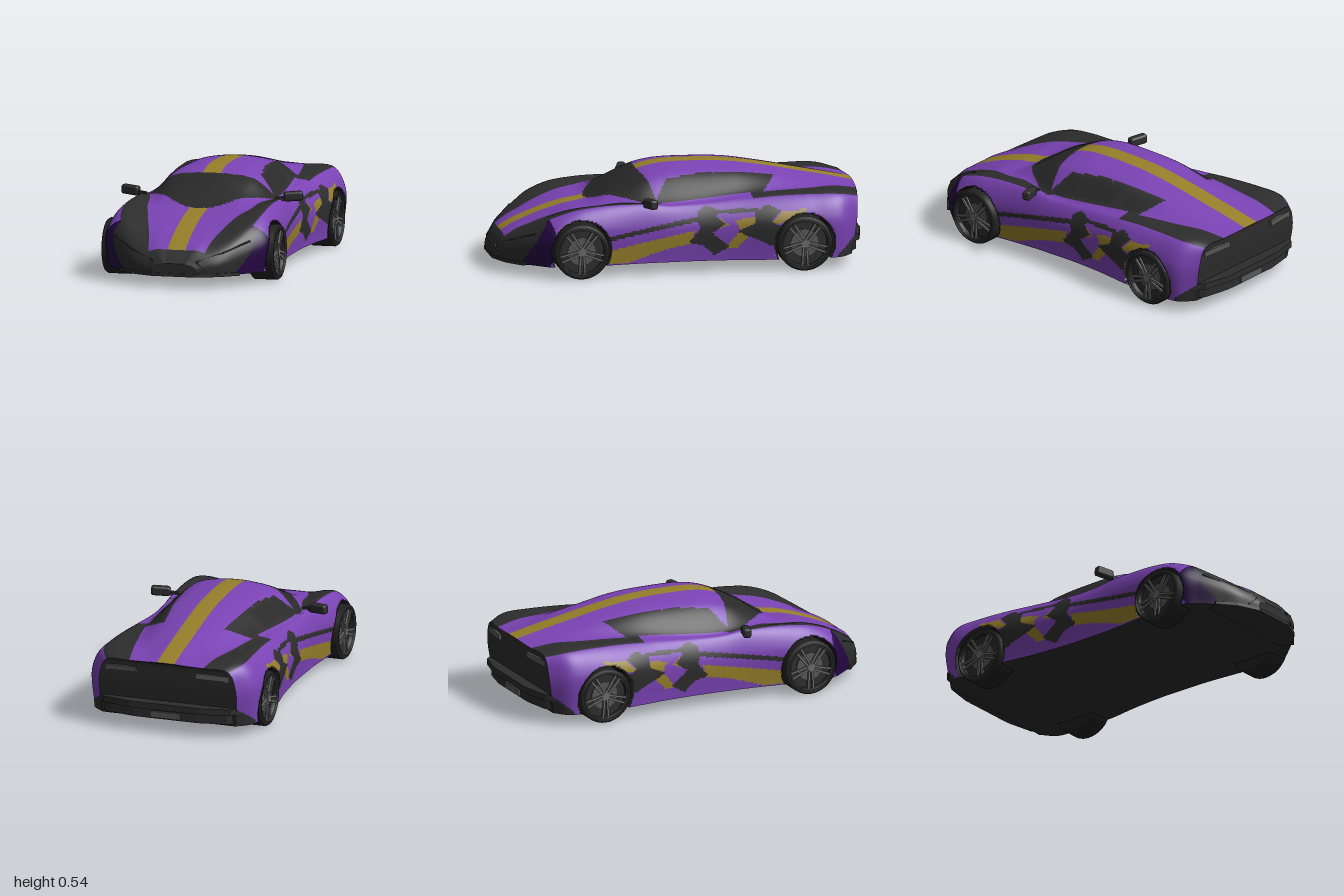
import * as THREE from 'three';
import { RoundedBoxGeometry } from 'three/addons/geometries/RoundedBoxGeometry.js';

const V = (x, y, z) => new THREE.Vector3(x, y, z);
const mat = (name, color) => Object.assign(new THREE.MeshStandardMaterial({ color }), { name });

// Body stations: z, roof height, roof edge x/y, cabin base x/y, fender crest x/y, half width
const STATIONS = [
  [0.995, 0.13, 0.06, 0.13, 0.08, 0.125, 0.10, 0.12, 0.12],
  [0.95, 0.19, 0.10, 0.19, 0.15, 0.178, 0.20, 0.16, 0.23],
  [0.88, 0.235, 0.12, 0.235, 0.17, 0.228, 0.28, 0.215, 0.315],
  [0.80, 0.27, 0.13, 0.27, 0.19, 0.265, 0.33, 0.27, 0.39],
  [0.72, 0.30, 0.15, 0.30, 0.215, 0.30, 0.37, 0.318, 0.45],
  [0.60, 0.335, 0.18, 0.34, 0.25, 0.34, 0.39, 0.36, 0.462],
  [0.47, 0.362, 0.20, 0.365, 0.285, 0.36, 0.39, 0.378, 0.456],
  [0.35, 0.435, 0.19, 0.42, 0.305, 0.378, 0.388, 0.383, 0.445],
  [0.20, 0.508, 0.22, 0.475, 0.345, 0.38, 0.388, 0.38, 0.433],
  [0.08, 0.535, 0.215, 0.50, 0.355, 0.375, 0.388, 0.365, 0.43],
  [-0.10, 0.54, 0.21, 0.505, 0.345, 0.385, 0.385, 0.365, 0.43],
  [-0.30, 0.53, 0.20, 0.50, 0.325, 0.40, 0.385, 0.383, 0.445],
  [-0.50, 0.50, 0.175, 0.475, 0.30, 0.41, 0.39, 0.40, 0.472],
  [-0.70, 0.46, 0.16, 0.44, 0.265, 0.41, 0.40, 0.405, 0.476],
  [-0.85, 0.43, 0.14, 0.415, 0.235, 0.41, 0.40, 0.40, 0.465],
  [-0.95, 0.40, 0.12, 0.395, 0.21, 0.39, 0.35, 0.375, 0.39],
];
const WHEEL_Z = [0.57, -0.65];
const archDistance = (y, z) => Math.min(...WHEEL_Z.map(w => Math.hypot(z - w, y - 0.15)));

// Painted outlines on the flanks, as z, y corners
const WINDOW_FRAME = [[0.15, 0.375], [0.07, 0.487], [-0.1, 0.503], [-0.3, 0.5], [-0.53, 0.472], [-0.45, 0.408], [-0.28, 0.405]];
const FRONT_WINDOW = [[0.125, 0.385], [0.06, 0.475], [-0.1, 0.492], [-0.28, 0.488], [-0.25, 0.415]];
const REAR_WINDOW = [[-0.35, 0.485], [-0.51, 0.466], [-0.45, 0.418], [-0.32, 0.415]];
const BLACK_MARKS = [
  [[-0.02, 0.17], [-0.08, 0.24], [-0.07, 0.33], [-0.12, 0.365], [-0.19, 0.34], [-0.17, 0.305], [-0.22, 0.27], [-0.15, 0.22], [-0.24, 0.14], [-0.16, 0.095], [-0.1, 0.15]],
  [[-0.28, 0.225], [-0.38, 0.27], [-0.38, 0.32], [-0.45, 0.365], [-0.52, 0.335], [-0.47, 0.28], [-0.53, 0.24], [-0.47, 0.14], [-0.42, 0.17]],
  [[0.44, 0.195], [0.44, 0.22], [-0.08, 0.312], [-0.08, 0.285]],
  [[-0.15, 0.32], [-0.15, 0.335], [-0.4, 0.35], [-0.4, 0.325]],
];
const GOLD_MARKS = [
  [[0.42, 0.07], [0.42, 0.145], [-0.05, 0.235], [-0.04, 0.165], [0.1, 0.14], [0.32, 0.07]],
  [[-0.1, 0.25], [-0.14, 0.225], [-0.24, 0.265], [-0.19, 0.30]],
  [[-0.22, 0.13], [-0.3, 0.235], [-0.27, 0.285], [-0.38, 0.305], [-0.38, 0.24], [-0.28, 0.13]],
  [[-0.46, 0.27], [-0.52, 0.325], [-0.66, 0.34], [-0.64, 0.31], [-0.55, 0.27]],
];
const inside = (poly, z, y) => {
  let hit = false;
  poly.forEach(([az, ay], i) => {
    const [bz, by] = poly[(i + 1) % poly.length];
    if ((ay > y) !== (by > y) && z < (bz - az) * (y - ay) / (by - ay) + az) hit = !hit;
  });
  return hit;
};

const PURPLE = 0, BLACK = 1, GOLD = 2, VIOLET = 3, GLASS = 4;

// Paint scheme; u runs 0 (centre line) to 6 (sill)
function paint(x, y, z, u) {
  if (u < 3.2 && z < 0.48 - 2.3 * x * x && z > 0.2 - 0.55 * x * x) return GLASS;
  if (u > 1.5 && u < 4 && inside(WINDOW_FRAME, z, y))
    return inside(FRONT_WINDOW, z, y) || inside(REAR_WINDOW, z, y) ? GLASS : BLACK;
  if (z > 0.94) return BLACK;
  if (u < 1) return GOLD;
  if (u < 3) return PURPLE;
  if (u < 4 && (z > 0.2 || z < -0.38)) return BLACK;
  if (z > 0.88 - 0.58 * (y - 0.07)) return BLACK;
  if (z > 0.69 + 0.35 * Math.abs(y - 0.2)) return VIOLET;
  if (u < 4) return PURPLE;
  if (archDistance(y, z) < 0.168) return BLACK;
  if (z < -0.83 && y < 0.08 - (z + 0.83) * 0.8) return BLACK;
  if (BLACK_MARKS.some(p => inside(p, z, y))) return BLACK;
  return GOLD_MARKS.some(p => inside(p, z, y)) ? GOLD : PURPLE;
}

// Lofted shell, its end caps and floor
function buildBody(paints) {
  const M = 300, SEGS = [2, 8, 14, 8, 14, 26];
  const us = [0];
  SEGS.forEach((n, s) => { for (let k = 1; k <= n; k++) us.push(s + k / n); });
  const N = us.length - 1, cols = 2 * N + 1;
  const net = STATIONS.map(([z, t, rx, ry, cx, cy, fx, fy, w], i) => {
    const pts = [[0, t], [0.05, t - 0.001], [rx, ry], [cx, cy], [fx, fy], [w, fy - 0.33 * (fy - 0.065)], [w * 0.975, 0.065]];
    const last = i === STATIONS.length - 1;
    return pts.map(([x, y], k) => V(x, y, last ? z - 0.035 * (1 - (x / 0.39) ** 2) + (k === 6 ? 0.03 : 0) : z));
  });
  const rails = net[0].map((_, k) => new THREE.CatmullRomCurve3(net.map(row => row[k])));
  const pos = [];
  for (let i = 0; i <= M; i++) {
    const section = new THREE.CatmullRomCurve3(rails.map(r => r.getPoint(i / M)));
    const half = us.map(u => {
      const p = section.getPoint(u / 6);
      if (u > 4.4 && archDistance(p.y, p.z) < 0.16) p.x = 0.335; // wheel wells
      return p;
    });
    for (let j = -N; j <= N; j++) {
      const p = half[Math.abs(j)];
      pos.push(Math.sign(j) * p.x, p.y, p.z);
    }
  }
  const lists = paints.map(() => []);
  const at = (i, j) => i * cols + j + N;
  for (let i = 0; i < M; i++) for (let j = -N; j < N; j++) {
    const a = at(i, j), b = a + 1, c = a + cols, d = c + 1;
    const mid = k => (pos[3 * a + k] + pos[3 * b + k] + pos[3 * c + k] + pos[3 * d + k]) / 4;
    const u = (us[Math.abs(j)] + us[Math.abs(j + 1)]) / 2;
    lists[paint(Math.abs(mid(0)), mid(1), mid(2), u)].push(a, b, c, b, d, c);
  }
  const make = index => {
    const g = new THREE.BufferGeometry();
    g.setAttribute('position', new THREE.Float32BufferAttribute(pos, 3));
    g.setIndex(index);
    g.computeVertexNormals();
    return g;
  };
  const skin = make(lists.flat());
  let start = 0;
  lists.forEach((l, k) => { skin.addGroup(start, l.length, k); start += l.length; });
  const close = [];
  for (let i = 0; i < M; i++) {
    const l = at(i, -N), r = at(i, N);
    close.push(l, l + cols, r, r, l + cols, r + cols);
  }
  const caps = [];
  for (let k = 0; k < N; k++) {
    let l = at(0, -k), r = at(0, k);
    caps.push(l, l - 1, r, r, l - 1, r + 1);
    l = at(M, -k); r = at(M, k);
    caps.push(l, r, l - 1, r, r + 1, l - 1);
  }
  return { skin, floor: make(close), caps: make(caps) };
}

export function createModel() {
  const car = new THREE.Group();
  car.name = 'sportsCar';
  const purple = mat('purple paint', 0x7a43b4), black = mat('black trim', 0x2d2d2d);
  const gold = mat('gold paint', 0x96802a), violet = mat('dark violet', 0x260644);
  const glass = mat('dark glass', 0x292929), rubber = mat('rubber', 0x212121);
  const alloy = mat('alloy', 0x6c6c6c), lamp = mat('grey lamp', 0x585858);
  const add = (name, geometry, material, parent = car) => {
    const m = new THREE.Mesh(geometry, material);
    m.name = name;
    parent.add(m);
    return m;
  };
  const bar = (name, a, b, h, d, material) => {
    const m = add(name, new THREE.BoxGeometry(d, h, a.distanceTo(b)), material);
    m.position.copy(a).lerp(b, 0.5);
    m.lookAt(b);
  };

  const paints = [purple, black, gold, violet, glass];
  const body = buildBody(paints);
  add('bodyShell', body.skin, paints);
  add('floor', body.floor, black);
  add('endPanels', body.caps, black);

  // Plan-shaped slabs: half outline as x, z
  const slab = (name, half, y, h) => {
    const all = [...half, ...half.slice().reverse().map(([x, z]) => [-x, z])];
    const shape = new THREE.Shape(all.map(([x, z]) => new THREE.Vector2(x, -z)));
    const g = new THREE.ExtrudeGeometry(shape, { depth: h, bevelEnabled: false });
    add(name, g.rotateX(-Math.PI / 2), black).position.y = y;
  };
  slab('frontSplitter', [[0.12, 1.0], [0.24, 0.95], [0.335, 0.87], [0.3, 0.8]], 0.06, 0.018);
  slab('rearBumperLip', [[0.2, -1.0], [0.36, -0.965], [0.42, -0.9], [0.4, -0.86]], 0.135, 0.035);
  slab('rearDiffuser', [[0.18, -0.98], [0.34, -0.95], [0.42, -0.88], [0.42, -0.82]], 0.08, 0.06);
  add('exhaustSurround', new THREE.BoxGeometry(0.17, 0.035, 0.02), lamp).position.set(0, 0.105, -0.98);

  for (const s of [1, -1]) {
    // Bumper creases and rear lamps
    bar('bumperCrease', V(s * 0.375, 0.24, 0.81), V(s * 0.25, 0.185, 0.912), 0.008, 0.012, black);
    bar('bumperCrease', V(s * 0.25, 0.185, 0.912), V(s * 0.12, 0.14, 0.978), 0.008, 0.012, black);
    bar('intakeEdge', V(s * 0.12, 0.14, 0.982), V(s * 0.18, 0.085, 0.972), 0.008, 0.012, black);
    bar('rearLamp', V(s * 0.17, 0.345, -0.977), V(s * 0.35, 0.335, -0.949), 0.03, 0.015, lamp);

    // Door mirrors
    bar('mirrorArm', V(s * 0.36, 0.38, 0.215), V(s * 0.43, 0.387, 0.2), 0.022, 0.025, black);
    const mirror = add('mirrorHead', new RoundedBoxGeometry(0.105, 0.052, 0.045, 3, 0.014), black);
    mirror.position.set(s * 0.452, 0.397, 0.193);
    mirror.rotation.set(0, s * 0.3, s * 0.06);

    // Wheels, built along y and turned to face outward
    for (const z of WHEEL_Z) {
      const wheel = new THREE.Group();
      wheel.name = 'wheel';
      wheel.position.set(s * 0.407, 0.15, z);
      wheel.rotation.z = -s * Math.PI / 2;
      car.add(wheel);
      const profile = [[0, -0.07], [0.14, -0.07], [0.15, -0.06], [0.15, 0.06], [0.142, 0.0715], [0.123, 0.069], [0.12, 0.035]];
      add('tyre', new THREE.LatheGeometry(profile.map(p => new THREE.Vector2(...p)), 48), rubber, wheel);
      add('wheelWell', new THREE.CylinderGeometry(0.122, 0.122, 0.08, 40), black, wheel);
      add('brakeDisc', new THREE.CylinderGeometry(0.075, 0.075, 0.01, 32), lamp, wheel).position.y = 0.041;
      const ring = add('rim', new THREE.TorusGeometry(0.124, 0.004, 8, 48), lamp, wheel);
      ring.rotation.x = Math.PI / 2;
      ring.position.y = 0.067;
      add('hub', new THREE.CylinderGeometry(0.022, 0.026, 0.02, 20), alloy, wheel).position.y = 0.058;
      for (let k = 0; k < 5; k++) for (const side of [1, -1]) {
        const g = new THREE.BoxGeometry(0.012, 0.012, 0.108).rotateY(side * 0.07).translate(side * 0.012, 0.06, 0.07);
        add('spoke', g, alloy, wheel).rotation.y = k * Math.PI * 0.4 + s * Math.PI / 2;
      }
    }
  }
  return car;
}
